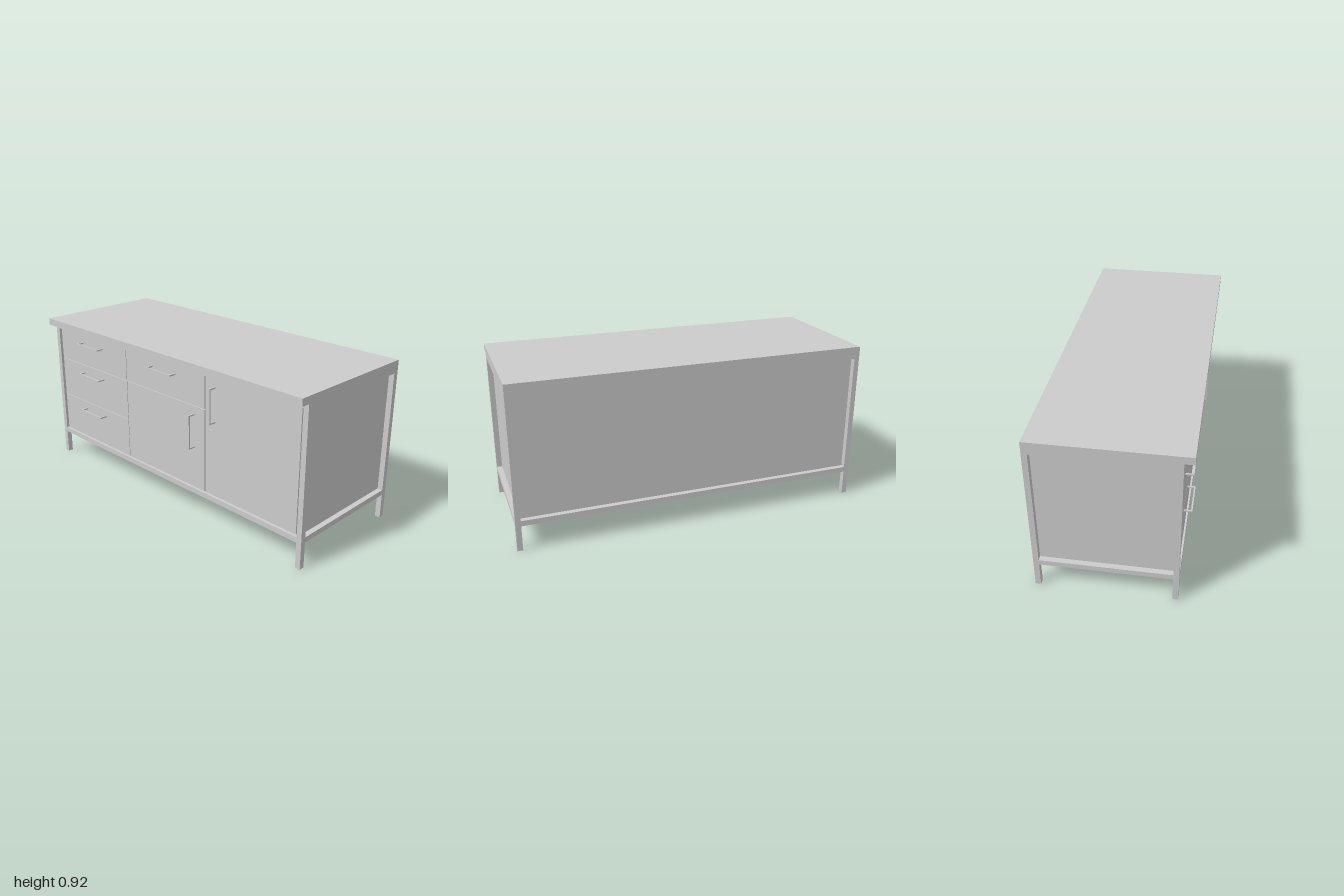
import * as THREE from 'three';

export function createModel() {
  const root = new THREE.Group();
  const mat = new THREE.MeshStandardMaterial({ color: 0xcccccc, flatShading: true });

  // Box given by its limits on each axis
  const box = (name, x0, x1, y0, y1, z0, z1, parent = root) => {
    const m = new THREE.Mesh(new THREE.BoxGeometry(x1 - x0, y1 - y0, z1 - z0), mat);
    m.position.set((x0 + x1) / 2, (y0 + y1) / 2, (z0 + z1) / 2);
    m.name = name;
    parent.add(m);
    return m;
  };

  const T = 0.03; // frame tube width
  const F = 0.35, B = -0.4; // front and back of the frame
  const railLow = 0.143, railHigh = 0.852, topY = 0.88;
  const floorY = railLow + T;

  box('worktop', -1, 1, topY, 0.92, -0.4, 0.4);

  // Tubular frame: four legs joined by rails at two heights
  const frame = new THREE.Group();
  frame.name = 'frame';
  root.add(frame);
  for (const x of [-1, 1 - T])
    for (const z of [B, F - T]) box('leg', x, x + T, 0, topY, z, z + T, frame);
  for (const [y0, y1] of [[railLow, floorY], [railHigh, topY]]) {
    for (const z of [B, F - T]) box('longRail', -1 + T, 1 - T, y0, y1, z, z + T, frame);
    for (const x of [-1, 1 - T]) box('sideRail', x, x + T, y0, y1, B + T, F - T, frame);
  }

  // Cabinet carcass inside the frame
  box('bottomPanel', -0.97, 0.97, floorY, 0.192, -0.35, 0.32);
  box('backPanel', -0.97, 0.97, floorY, railHigh, -0.37, -0.35);
  for (const x of [-0.97, 0.951]) box('sidePanel', x, x + 0.019, 0.192, railHigh, -0.35, 0.32);
  for (const x of [-0.32, 0.325]) box('divider', x - 0.01, x + 0.01, 0.192, railHigh, -0.35, 0.32);

  // Drawer and door fronts
  const front = (name, x0, x1, y0, y1) => box(name, x0, x1, y0, y1, 0.321, 0.34);
  front('drawerFront', -0.96, -0.322, 0.662, 0.849);
  front('drawerFront', -0.96, -0.322, 0.418, 0.658);
  front('drawerFront', -0.96, -0.322, 0.177, 0.414);
  front('drawerFront', -0.318, 0.322, 0.662, 0.849);
  front('doorFront', -0.318, 0.322, 0.177, 0.658);
  front('doorFront', 0.328, 0.957, 0.179, 0.849);

  // Bar handles, built lying down and turned upright for the doors
  const handle = (x, y, upright) => {
    const g = new THREE.Group();
    g.name = 'handle';
    const h = 0.004, half = 0.099;
    box('grip', -half, half, -h, h, 0.376, 0.384, g);
    for (const s of [-1, 1]) {
      const c = s * (half - h);
      box('handlePost', c - h, c + h, -h, h, 0.34, 0.376, g);
    }
    g.position.set(x, y, 0);
    if (upright) g.rotation.z = Math.PI / 2;
    root.add(g);
  };
  for (const y of [0.802, 0.61, 0.37]) handle(-0.64, y, false);
  handle(0.002, 0.802, false);
  handle(0.243, 0.516, true);
  handle(0.398, 0.706, true);

  return root;
}
